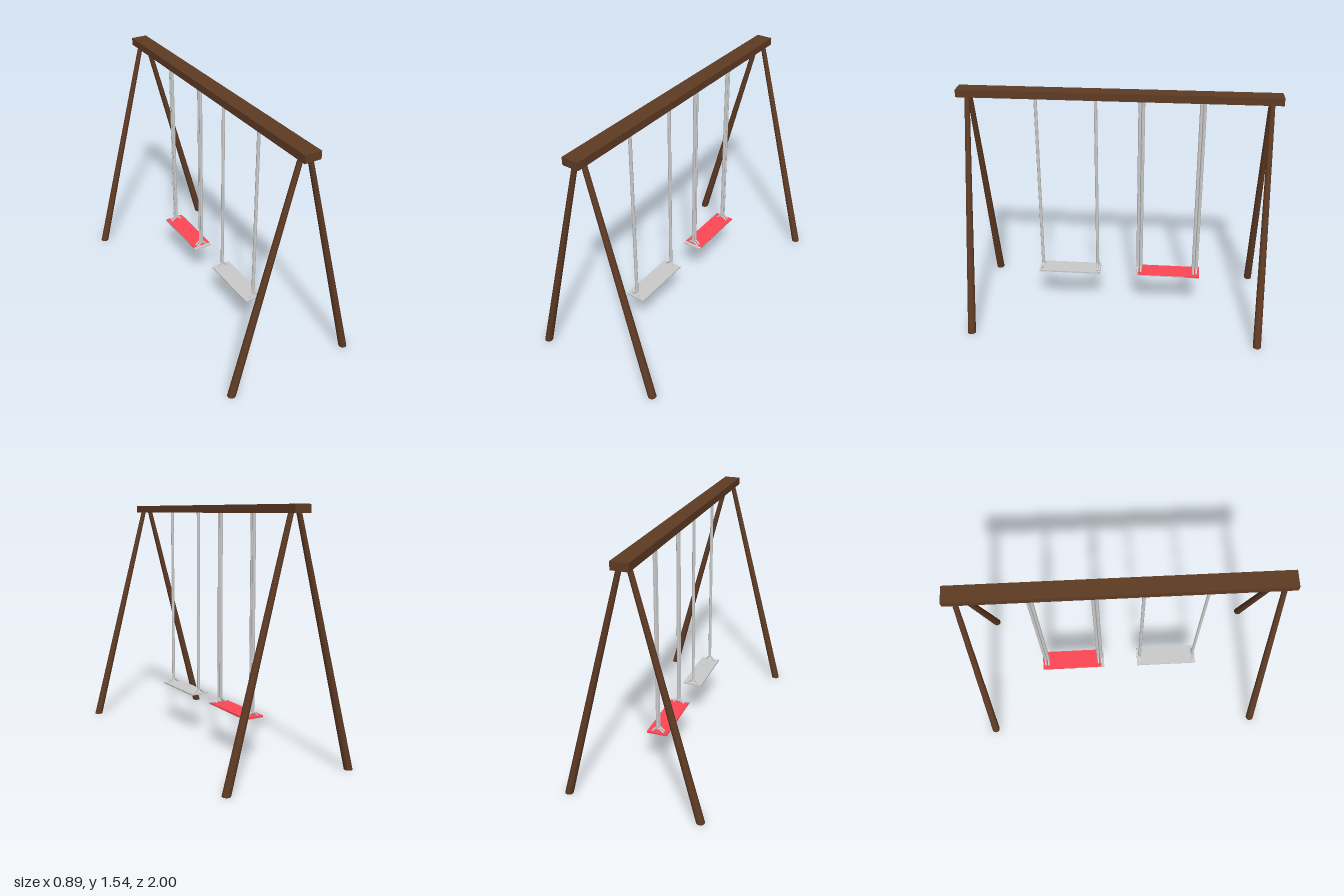
import * as THREE from 'three';

const wood = new THREE.MeshStandardMaterial({ color: 0x5f3b24 });
const grey = new THREE.MeshStandardMaterial({ color: 0xcccccc });
const greyFlat = new THREE.MeshStandardMaterial({ color: 0xcccccc, flatShading: true });
const red = new THREE.MeshStandardMaterial({ color: 0xff4655 });

const CX = -0.003; // beam and swings share this centre line

function part(name, geometry, material, x = 0, y = 0, z = 0) {
  const mesh = new THREE.Mesh(geometry, material);
  mesh.name = name;
  mesh.position.set(x, y, z);
  return mesh;
}

// Tapered post sheared sideways so both ends stay level
function leg(side, z) {
  const h = 1.5, foot = 0.419, head = 0.026;
  const geo = new THREE.CylinderGeometry(0.016, 0.026, h, 16);
  geo.translate(0, h / 2, 0);
  const p = geo.attributes.position;
  for (let i = 0; i < p.count; i++) {
    const t = p.getY(i) / h;
    p.setX(i, p.getX(i) + side * (foot + (head - foot) * t));
  }
  geo.computeVertexNormals();
  return part(side > 0 ? 'leftLeg' : 'rightLeg', geo, wood, 0, 0, z);
}

// Thin round bar between two points
function bar(name, a, b, radius) {
  const dir = b.clone().sub(a);
  const mesh = part(name, new THREE.CylinderGeometry(radius, radius, dir.length(), 8), greyFlat);
  mesh.position.copy(a).addScaledVector(dir, 0.5);
  mesh.quaternion.setFromUnitVectors(new THREE.Vector3(0, 1, 0), dir.normalize());
  return mesh;
}

// Seat hung from two ropes, each forking to the seat edges
function swing(name, z, seatMaterial, lift = 0) {
  const g = new THREE.Group();
  g.name = name;
  g.add(part('seat', new THREE.BoxGeometry(0.13, 0.01, 0.415), seatMaterial, 0, 0.276, 0));
  for (const s of [-1, 1]) {
    const rz = s * 0.188;
    g.add(bar('rope', new THREE.Vector3(0, 0.303, rz), new THREE.Vector3(0, 1.5, rz), 0.0105));
    for (const side of [-1, 1]) {
      g.add(bar('ropeFork', new THREE.Vector3(side * 0.037, 0.281, rz),
        new THREE.Vector3(side * 0.003, 0.309, rz), 0.006));
    }
  }
  g.position.set(CX, lift, z);
  return g;
}

export function createModel() {
  const model = new THREE.Group();
  model.name = 'swingSet';

  model.add(part('topBeam', new THREE.BoxGeometry(0.106, 0.048, 2), wood, CX, 1.518, 0));

  for (const z of [-0.932, 0.932]) {
    const frame = new THREE.Group();
    frame.name = z > 0 ? 'frontFrame' : 'backFrame';
    frame.add(leg(-1, z), leg(1, z));
    model.add(frame);
  }

  // Two grey swings, plus a red one overlapping the rear swing
  model.add(swing('frontSwing', 0.326, grey));
  model.add(swing('rearSwing', -0.325, grey));
  model.add(swing('redSwing', -0.346, red, 0.001));

  return model;
}
